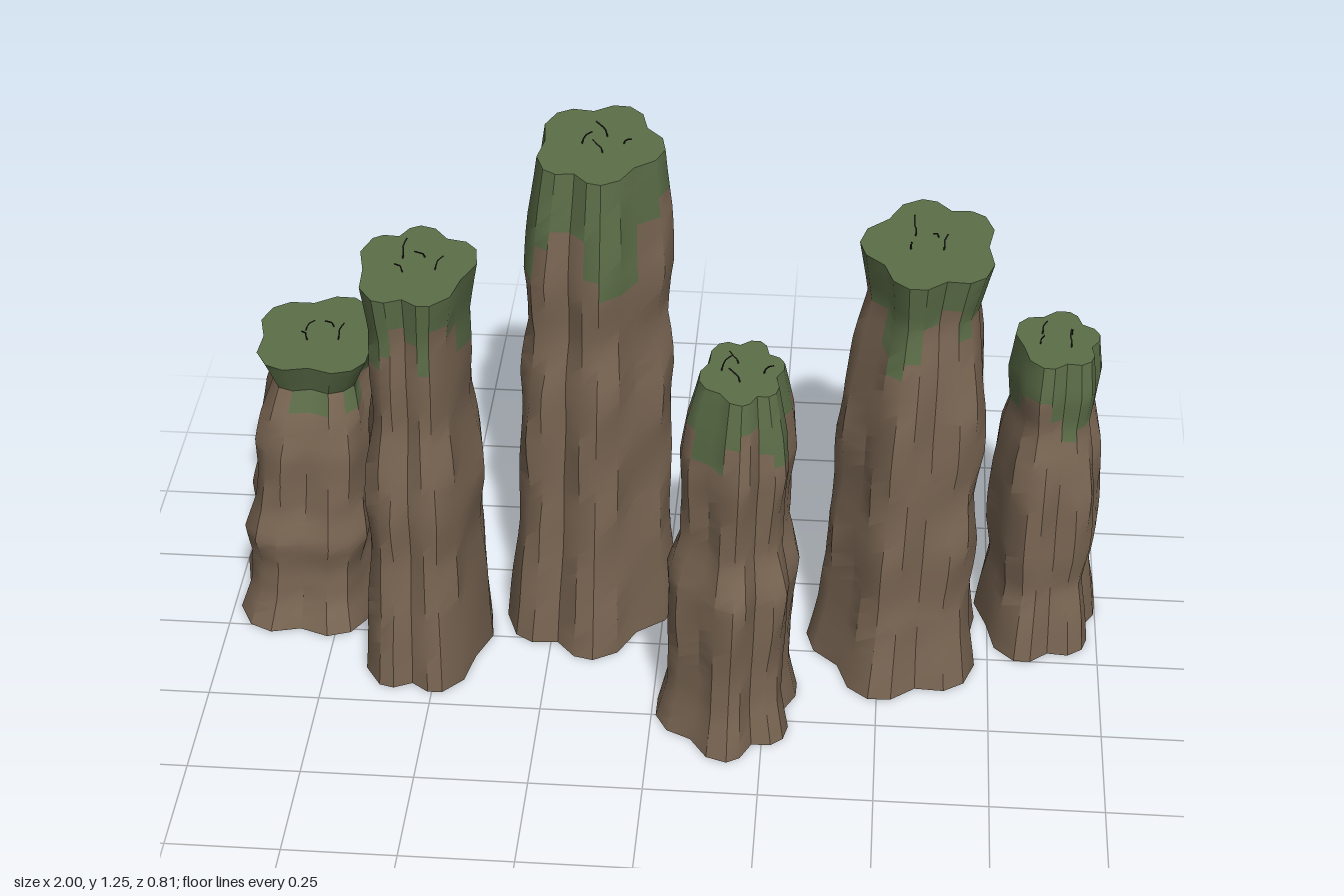
import * as THREE from 'three';
import { toCreasedNormals } from 'three/addons/utils/BufferGeometryUtils.js';

const rock = new THREE.MeshStandardMaterial({ name: 'brown rock', color: 0x7a6653 });
const moss = new THREE.MeshStandardMaterial({ name: 'moss green', color: 0x5c6e48 });
const bark = new THREE.MeshStandardMaterial({ name: 'dark twig', color: 0x2b2520 });

const lerp = THREE.MathUtils.lerp;

// Lobed star from the angles of its tips, both axes scaled to run from -0.5 to 0.5
function lobedOutline(tips) {
  const points = [];
  tips.forEach((tip, k) => {
    const next = k + 1 < tips.length ? tips[k + 1] : tips[0] + 360;
    for (const [f, r] of [[0, 1], [0.22, 0.95], [0.5, 0.8], [0.78, 0.95]]) {
      const angle = THREE.MathUtils.degToRad(lerp(tip, next, f));
      points.push(new THREE.Vector2(Math.cos(angle) * r, Math.sin(angle) * r));
    }
  });
  const box = new THREE.Box2().setFromPoints(points);
  const centre = box.getCenter(new THREE.Vector2()), size = box.getSize(new THREE.Vector2());
  return points.map((p) => p.sub(centre).divide(size));
}

// Fluted column skinned through stacked rings, with mossy faces near the top.
// base and top are [left, right, back, front] edges; swell is the bulge of
// each ring in between, in hundredths
function columnGeometry({ height, mossDepth, base, top, swell, tips }) {
  const outline = lobedOutline(tips), n = outline.length;
  const swells = [0, ...swell, 0], bands = swells.length - 1;

  // Each band is split in three so the moss edge can be ragged
  const rings = [];
  for (let s = 0; s <= bands * 3; s++) {
    const t = s / (bands * 3), k = Math.min(Math.floor(s / 3), bands - 1);
    const bulge = lerp(swells[k], swells[k + 1], s / 3 - k) / 100;
    const [xl, xr, zb, zf] = base.map((v, e) => lerp(v, top[e], t) + (e % 2 ? bulge : -bulge));
    rings.push(outline.map((p, i) => {
      const wobble = 1 + 0.03 * Math.sin(t * height * 19 + i * 2.1) * Math.sin(Math.PI * t);
      return new THREE.Vector3((xl + xr) / 2 + p.x * wobble * (xr - xl), t * height,
        (zb + zf) / 2 + p.y * wobble * (zf - zb));
    }));
  }

  const rockTris = [], mossTris = [];
  for (let r = 0; r < rings.length - 1; r++) {
    for (let i = 0; i < n; i++) {
      const j = (i + 1) % n;
      const a = rings[r][i], b = rings[r][j], c = rings[r + 1][j], d = rings[r + 1][i];
      const edge = height - mossDepth * (1 + 0.45 * Math.sin(i * 1.1 + height * 9));
      ((a.y + c.y) / 2 > edge ? mossTris : rockTris).push(b, a, d, b, d, c);
    }
  }

  // Rock underside and mossy top, fanned from the middle
  const close = (ring, up, out) => {
    const middle = ring.reduce((sum, p) => sum.add(p), new THREE.Vector3()).divideScalar(n);
    ring.forEach((p, i) => {
      const q = ring[(i + 1) % n];
      out.push(middle, ...(up ? [q, p] : [p, q]));
    });
  };
  close(rings[0], false, rockTris);
  close(rings[rings.length - 1], true, mossTris);

  const geometry = new THREE.BufferGeometry().setFromPoints([...rockTris, ...mossTris]);
  geometry.addGroup(0, rockTris.length, 0);
  geometry.addGroup(rockTris.length, mossTris.length, 1);
  return toCreasedNormals(geometry, 0.6);
}

// A small bent twig rising from the origin
function twig(height, turn) {
  const path = new THREE.CatmullRomCurve3([
    new THREE.Vector3(0, -0.005, 0),
    new THREE.Vector3(0.004, height * 0.4, 0.002),
    new THREE.Vector3(0.01, height * 0.65, 0),
    new THREE.Vector3(0.024, height, 0.006),
  ]);
  const mesh = new THREE.Mesh(new THREE.TubeGeometry(path, 5, 0.0017, 4), bark);
  mesh.name = 'twig';
  mesh.rotation.y = turn;
  return mesh;
}

// Column with four sparse twigs around the middle of its top
function pillar(name, spec) {
  const group = new THREE.Group();
  group.name = name;
  const column = new THREE.Mesh(columnGeometry(spec), [rock, moss]);
  column.name = 'column';
  group.add(column);

  const [xl, xr, zb, zf] = spec.top;
  for (let i = 0; i < 4; i++) {
    const angle = i * 1.7 + spec.height * 5;
    const stem = twig(0.02 + 0.006 * i, angle * 2);
    stem.position.set((xl + xr) / 2 + 0.045 * Math.cos(angle), spec.height, (zb + zf) / 2 + 0.035 * Math.sin(angle));
    group.add(stem);
  }
  return group;
}

export function createModel() {
  const model = new THREE.Group();
  model.name = 'rockPillars';
  model.add(pillar('farRightPillar', {
    height: 0.7, mossDepth: 0.09,
    base: [-1, -0.64, -0.4, 0.03], top: [-0.915, -0.62, -0.33, -0.02],
    swell: [-2, -2, 0, -1.5, -1.5, -1, -2, -4], tips: [55, 130, 218, 290, 344],
  }));
  model.add(pillar('rightPillar', {
    height: 1.01, mossDepth: 0.15,
    base: [-0.68, -0.385, -0.18, 0.21], top: [-0.645, -0.39, -0.15, 0.17],
    swell: [-0.5, -1, -1.5, -0.5, -1, -2.5, -2, -2], tips: [68, 122, 220, 266, 332],
  }));
  model.add(pillar('tallPillar', {
    height: 1.215, mossDepth: 0.2,
    base: [-0.36, 0.03, -0.41, 0.07], top: [-0.27, 0, -0.345, -0.005],
    swell: [-0.5, -1, -1, 0, 0.5, -0.5, 1.5, 1], tips: [5, 82, 138, 225, 292],
  }));
  model.add(pillar('frontPillar', {
    height: 0.9, mossDepth: 0.12,
    base: [0.01, 0.32, -0.02, 0.4], top: [0.1, 0.275, 0.08, 0.325],
    swell: [-1.5, -1, 0.5, 1.5, -0.5, 0.5, 2, 1.5], tips: [36, 86, 162, 234, 291, 342],
  }));
  model.add(pillar('leftPillar', {
    height: 1.06, mossDepth: 0.16,
    base: [0.335, 0.72, -0.3, 0.16], top: [0.42, 0.705, -0.26, 0.105],
    swell: [-1.5, -2, -1, -1.5, -0.5, -0.5, -1.5, -3], tips: [41, 107, 180, 262, 319],
  }));
  model.add(pillar('farLeftPillar', {
    height: 0.76, mossDepth: 0.13,
    base: [0.72, 1, -0.36, 0], top: [0.77, 0.955, -0.3, -0.07],
    swell: [-0.5, -1.5, 0, 0.5, 1, 0.5, -1, 0.5], tips: [42, 109, 211, 288, 347],
  }));
  return model;
}
